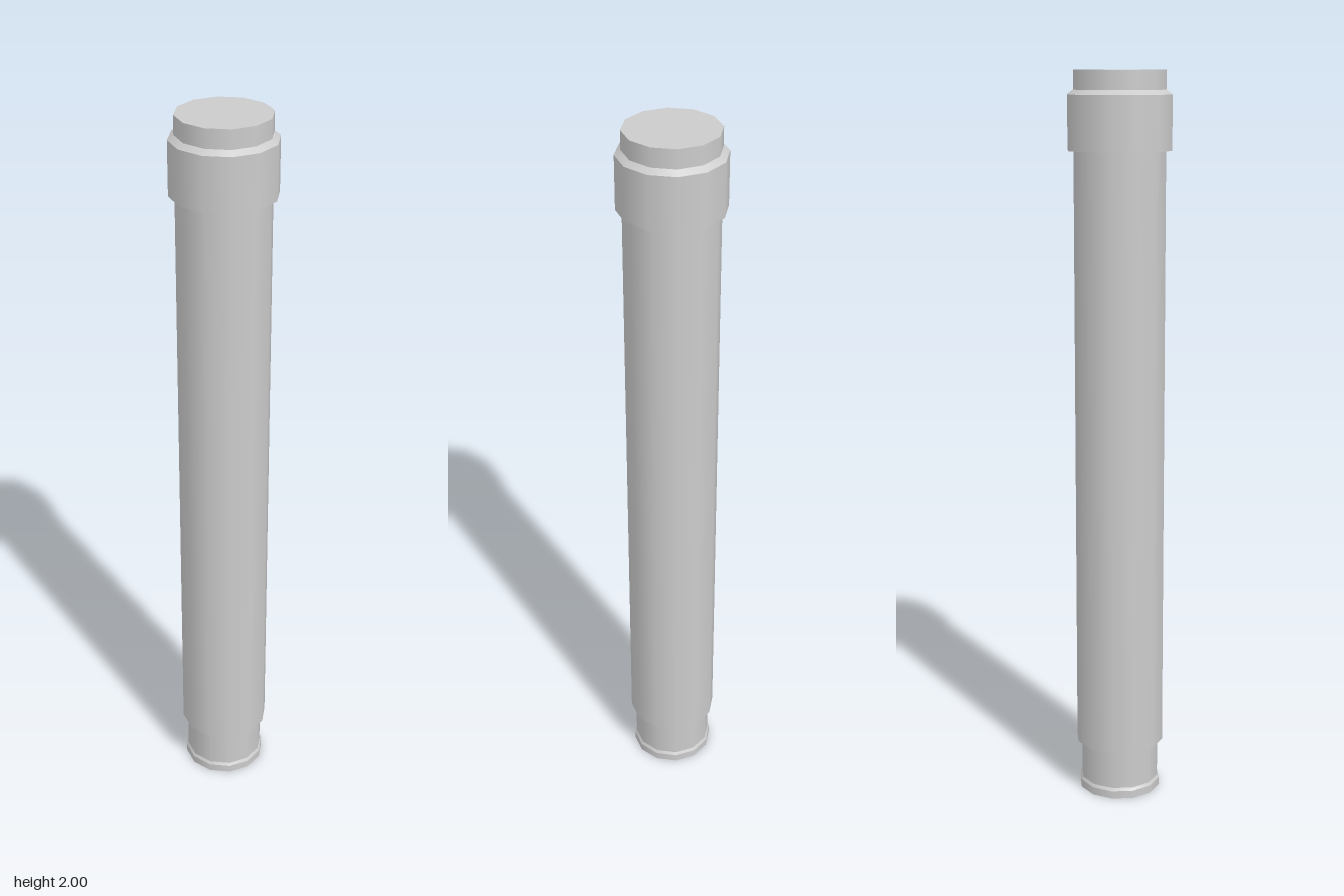
import * as THREE from 'three';
import { mergeGeometries } from 'three/addons/utils/BufferGeometryUtils.js';

const SIDES = 12;
const material = new THREE.MeshStandardMaterial({ color: 0xcccccc });

// Turns a bottom-to-top profile of [radius, height] points, one band per
// segment, so it is smooth around the axis and sharp between bands.
function turned(name, profile) {
  const bands = [];
  for (let i = 0; i + 1 < profile.length; i++) {
    const ends = [profile[i], profile[i + 1]].map(([r, y]) => new THREE.Vector2(r, y));
    bands.push(new THREE.LatheGeometry(ends, SIDES));
  }
  const mesh = new THREE.Mesh(mergeGeometries(bands), material);
  mesh.name = name;
  return mesh;
}

export function createModel() {
  const model = new THREE.Group();
  model.name = 'tube';
  model.add(
    // narrow foot with a slightly flared base
    turned('foot', [[0, 0], [0.115, 0], [0.115, 0.022], [0.11, 0.03], [0.11, 0.142]]),
    // long shaft with the step under it
    turned('shaft', [[0.11, 0.142], [0.124, 0.142], [0.124, 1.795]]),
    // wider collar, bevelled at its top edge
    turned('collar', [[0.124, 1.795], [0.14, 1.795], [0.14, 1.938], [0.124, 1.95]]),
    // closed top end
    turned('cap', [[0.124, 1.95], [0.124, 2], [0, 2]])
  );
  return model;
}
